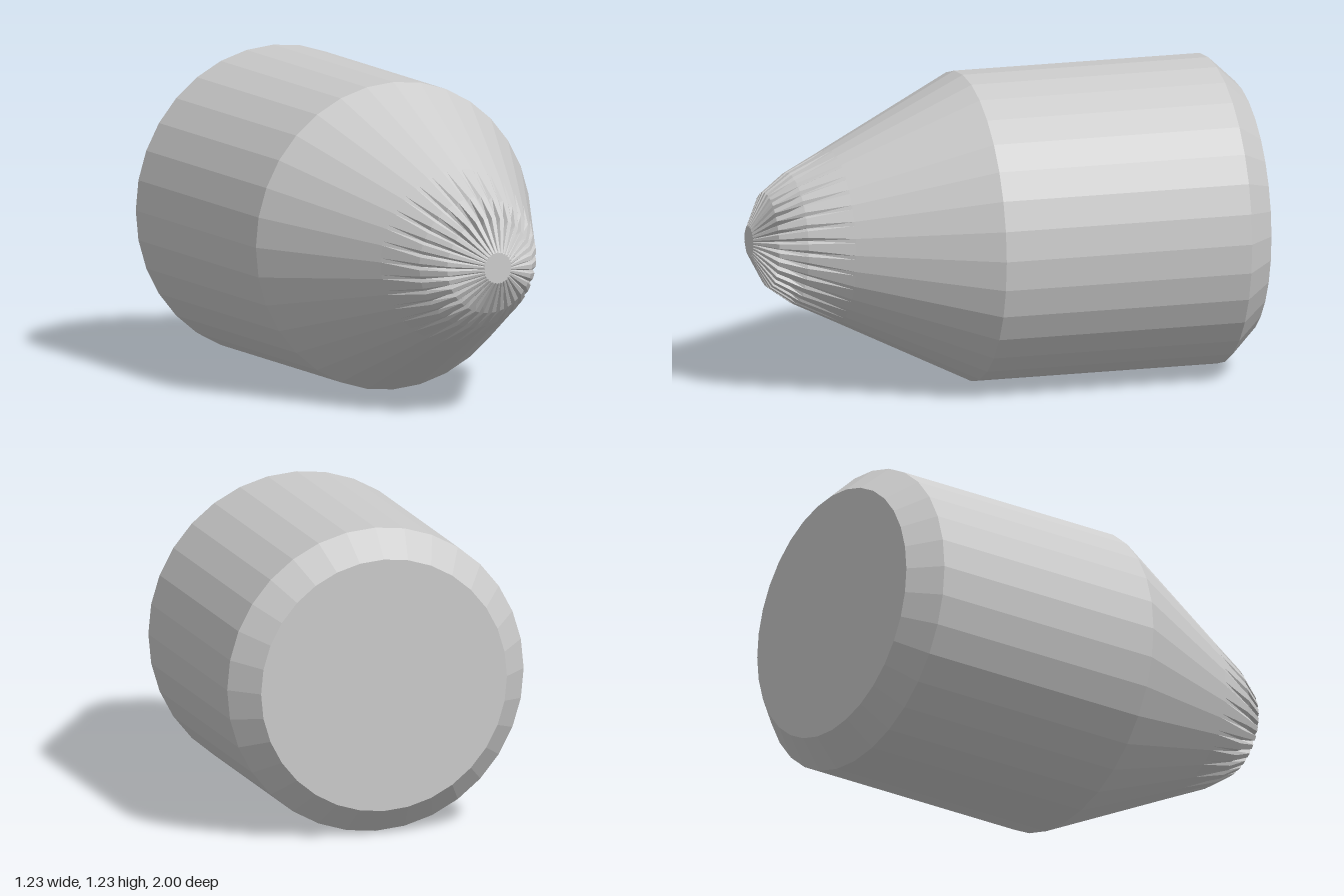
import * as THREE from 'three';

const SIDES = 32;
const RADIUS = 0.615;
const material = new THREE.MeshStandardMaterial({ color: 0xcccccc, flatShading: true, side: THREE.DoubleSide });

// Nose rings: position along z, ridge radius, groove floor radius
const NOSE = [
  [0.12, 0.615, 0.615],
  [0.66, 0.345, 0.345],
  [0.83, 0.262, 0.25],
  [0.93, 0.19, 0.155],
  [1, 0.062, 0.058],
];

// Faceted cone whose corners are notched by narrow grooves towards the tip
function noseGeometry() {
  const perSide = 4;
  const count = SIDES * perSide;
  const positions = [];
  const index = [];
  const step = (Math.PI * 2) / SIDES;
  for (const [z, ridge, groove] of NOSE) {
    for (let i = 0; i < count; i++) {
      const angle = (i / count) * Math.PI * 2;
      const fromMiddle = ((i % perSide) / perSide - 0.5) * step;
      const flat = Math.cos(step / 2) / Math.cos(fromMiddle);
      const r = i % perSide === 0 ? groove : ridge * flat;
      positions.push(r * Math.sin(angle), r * Math.cos(angle), z);
    }
  }
  for (let ring = 0; ring < NOSE.length - 1; ring++) {
    for (let i = 0; i < count; i++) {
      const a = ring * count + i;
      const b = ring * count + ((i + 1) % count);
      index.push(a, a + count, b, b, a + count, b + count);
    }
  }
  // Flat tip
  const tip = (NOSE.length - 1) * count;
  const centre = positions.length / 3;
  positions.push(0, 0, 1);
  for (let i = 0; i < count; i++) index.push(centre, tip + ((i + 1) % count), tip + i);

  const indexed = new THREE.BufferGeometry();
  indexed.setAttribute('position', new THREE.Float32BufferAttribute(positions, 3));
  indexed.setIndex(index);
  const geometry = indexed.toNonIndexed();
  geometry.computeVertexNormals();
  return geometry;
}

// Straight body with a chamfered, closed back end
function bodyGeometry() {
  const profile = [[0, -1], [0.51, -1], [RADIUS, -0.89], [RADIUS, 0.12]];
  const geometry = new THREE.LatheGeometry(profile.map(([r, z]) => new THREE.Vector2(r, z)), SIDES);
  return geometry.rotateX(Math.PI / 2);
}

export function createModel() {
  const group = new THREE.Group();
  group.name = 'groovedNoseCylinder';
  const parts = { body: bodyGeometry(), groovedNose: noseGeometry() };
  for (const [name, geometry] of Object.entries(parts)) {
    const mesh = new THREE.Mesh(geometry, material);
    mesh.name = name;
    mesh.position.y = RADIUS;
    group.add(mesh);
  }
  return group;
}
